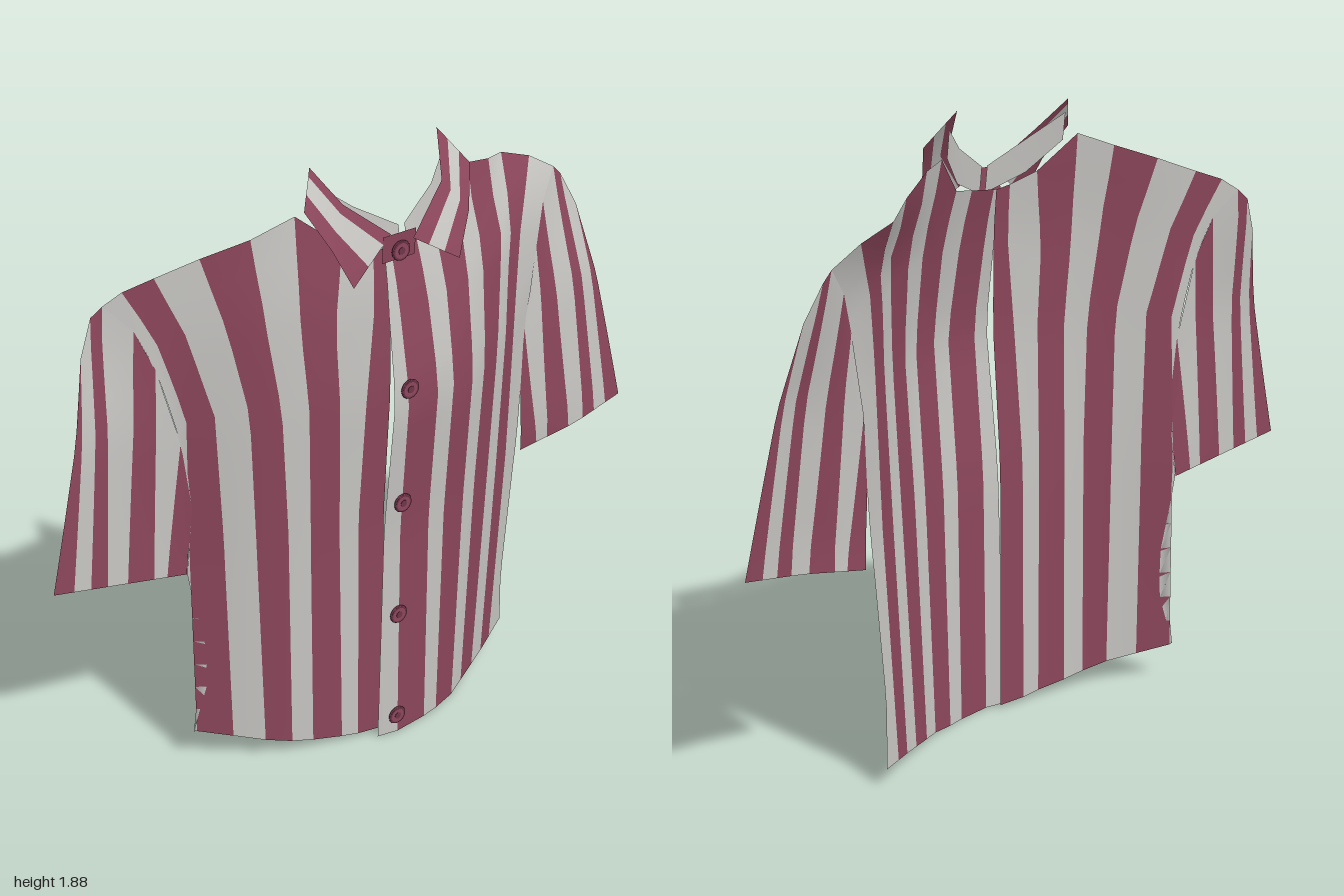
import * as THREE from 'three';

const material = (name, color) => {
  const m = new THREE.MeshStandardMaterial({ color, side: THREE.DoubleSide });
  m.name = name;
  return m;
};

// piecewise linear lookup in ascending xs
function lookup(xs, vs, x) {
  if (x <= xs[0]) return vs[0];
  for (let i = 1; i < xs.length; i++) {
    if (x <= xs[i]) return vs[i - 1] + (vs[i] - vs[i - 1]) * (x - xs[i - 1]) / (xs[i] - xs[i - 1]);
  }
  return vs[vs.length - 1];
}

// cloth depth: one row per height, one column per distance from the centre
const DIST = [0, 0.2, 0.4, 0.6, 0.8, 1];
const HEIGHT = [0, 0.75, 1.2, 1.5, 1.65, 1.78];
const LEFT_DEPTH = [
  [0.14, 0.10, 0.00, -0.11, -0.12, -0.12],
  [0.145, 0.13, 0.04, -0.07, -0.05, -0.07],
  [0.185, 0.165, 0.06, -0.08, -0.09, -0.10],
  [0.13, 0.11, 0.03, -0.10, -0.17, -0.15],
  [0.09, 0.06, -0.05, -0.20, -0.19, -0.18],
  [0.07, 0.02, -0.08, -0.20, -0.20, -0.20],
];
const RIGHT_DEPTH = [
  [0.11, 0.08, 0.03, -0.10, -0.12, -0.14],
  [0.11, 0.08, 0.03, -0.11, -0.13, -0.15],
  [0.13, 0.09, 0.03, -0.10, -0.14, -0.15],
  [0.11, 0.08, 0.02, -0.10, -0.19, -0.17],
  [0.09, 0.06, 0.00, -0.11, -0.19, -0.18],
  [0.07, 0.04, -0.01, -0.11, -0.19, -0.18],
];
const depth = (table, x, y) =>
  lookup(HEIGHT, table.map((row) => lookup(DIST, row, Math.abs(x))), y);

// sheet between neighbouring lines of points (left to right), one colour per strip
function sheet(name, lines, mats) {
  const n = lines[0].length;
  const geo = new THREE.BufferGeometry().setFromPoints(lines.flat());
  const index = [];
  const palette = [...new Set(mats)];
  mats.forEach((m, s) => {
    geo.addGroup(index.length, (n - 1) * 6, palette.indexOf(m));
    for (let j = 0; j < n - 1; j++) {
      const a = s * n + j, b = a + n;
      index.push(a, b, b + 1, a, b + 1, a + 1);
    }
  });
  geo.setIndex(index);
  geo.computeVertexNormals();
  const mesh = new THREE.Mesh(geo, palette);
  mesh.name = name;
  return mesh;
}

// stripe edge: [x, y] points from bottom to top, resampled and draped on the depth table
function drape(points, table, lift = 0, rows = 18) {
  const ys = points.map((p) => p[1]), xs = points.map((p) => p[0]);
  return Array.from({ length: rows + 1 }, (_, i) => {
    const y = ys[0] + (ys[ys.length - 1] - ys[0]) * i / rows;
    const x = lookup(ys, xs, y);
    return new THREE.Vector3(x, y, depth(table, x, y) + lift);
  });
}

// stripe edge of a front panel: hem x, hem y, x at three heights, top x, top y
const edge = ([hx, hy, a, b, c, tx, ty]) => [[hx, hy], [a, 0.8], [b, 1.2], [c, 1.45], [tx, ty]];
const ARMHOLE = [[0.58, 0.9], [0.6, 1.12], [0.655, 1.36], [0.7, 1.48], [0.77, 1.56]];

export function createModel() {
  const model = new THREE.Group();
  model.name = 'shirt';
  const red = material('burgundy', 0x8b465b);
  const white = material('off white', 0xc6c5c2);
  const dark = material('dark burgundy', 0x70344a);
  const stripes = (first, count) =>
    Array.from({ length: count }, (_, i) => ((i % 2 === 0) === (first === red) ? red : white));

  // left front panel with the placket as its first stripe
  const leftEdges = [
    [-0.095, 0, -0.085, -0.075, -0.065, -0.05, 1.62],
    [-0.03, 0, -0.03, -0.03, -0.03, -0.03, 1.62],
    [0.08, 0, 0.075, 0.075, 0.07, 0.06, 1.63],
    [0.135, 0, 0.135, 0.135, 0.14, 0.13, 1.64],
    [0.21, 0.008, 0.215, 0.215, 0.23, 0.24, 1.75],
    [0.27, 0.017, 0.28, 0.29, 0.31, 0.33, 1.735],
    [0.34, 0.028, 0.36, 0.37, 0.41, 0.46, 1.69],
    [0.4, 0.037, 0.415, 0.43, 0.48, 0.57, 1.655],
    [0.46, 0.047, 0.485, 0.505, 0.57, 0.68, 1.615],
  ].map(edge);
  leftEdges.push([[0.54, 0.06], [0.52, 0.25], [0.555, 0.7], ...ARMHOLE]);
  model.add(sheet('leftFront', leftEdges.map((e) => drape(e, LEFT_DEPTH)), stripes(white, 9)));

  // right front panel, running under the placket
  const rightEdges = [
    [-0.06, 0.01, -0.06, -0.05, -0.04, -0.035, 1.62],
    [-0.145, 0.015, -0.14, -0.12, -0.09, -0.08, 1.63],
    [-0.2, 0.025, -0.2, -0.2, -0.205, -0.17, 1.66],
    [-0.29, 0.04, -0.285, -0.285, -0.3, -0.29, 1.76],
    [-0.355, 0.055, -0.35, -0.36, -0.39, -0.41, 1.715],
    [-0.43, 0.075, -0.435, -0.44, -0.48, -0.53, 1.67],
    [-0.51, 0.095, -0.51, -0.52, -0.575, -0.64, 1.625],
    [-0.6, 0.117, -0.59, -0.585, -0.65, -0.72, 1.595],
  ].map(edge);
  rightEdges.push([[-0.61, 0.12], [-0.57, 0.27], [-0.565, 0.42], [-0.6, 0.67],
    ...ARMHOLE.map(([x, y]) => [-x, y])]);
  model.add(sheet('rightFront', rightEdges.map((e) => drape(e, RIGHT_DEPTH)).reverse(),
    stripes(red, 8).reverse()));

  // sleeves: stripes fan from the armhole and cap down to the cuff
  const cuff = [0.6, 0.66, 0.7, 0.78, 0.84, 0.89, 0.94, 1];
  const cap = [...ARMHOLE.slice(0, 4), [0.77, 1.56], [0.8, 1.53], [0.845, 1.43], [0.88, 1.27]];
  for (const side of [1, -1]) {
    const table = side > 0 ? LEFT_DEPTH : RIGHT_DEPTH;
    const lines = cuff.map((x, i) => drape(
      [[x * side, 0.68 + 0.07 * (x - 0.6) / 0.4], [cap[i][0] * side, cap[i][1]]], table, 0, 10));
    const mats = stripes(red, 7);
    if (side < 0) { lines.reverse(); mats.reverse(); }
    model.add(sheet(side > 0 ? 'leftSleeve' : 'rightSleeve', lines, mats));
  }

  // collar flaps: stripes run between the outer edge and the fold
  const v = (p) => new THREE.Vector3(...p);
  function collar(name, outer, fold, cuts, mats, flip) {
    const lines = cuts.map((t) => outer.map((p, i) => v(p).lerp(v(fold[i]), t)));
    model.add(sheet(name, flip ? lines.reverse() : lines, flip ? mats.reverse() : mats));
  }
  collar('rightCollar',
    [[-0.19, 1.57, 0.145], [-0.235, 1.68, 0.11], [-0.28, 1.78, 0.05]],
    [[-0.05, 1.68, 0.12], [-0.17, 1.78, 0.07], [-0.22, 1.87, -0.01]],
    [0, 0.4, 0.8, 1], [red, white, red], false);
  collar('leftCollar',
    [[0.15, 1.57, 0.165], [0.215, 1.68, 0.12], [0.27, 1.78, 0.05]],
    [[0.01, 1.66, 0.14], [0.15, 1.77, 0.08], [0.2, 1.88, -0.01]],
    [0, 0.33, 0.67, 1], [red, white, red], true);

  // collar stand behind the flaps
  for (const s of [-1, 1]) {
    const lines = [[0.22, 1.75, 1.83, 0], [0.13, 1.66, 1.76, 0.06], [0.01, 1.61, 1.69, 0.1]]
      .map(([x, low, high, z]) => [v([x * s, low, z + 0.01]), v([x * s, high, z])]);
    model.add(sheet(s > 0 ? 'leftCollarStand' : 'rightCollarStand',
      s > 0 ? lines.reverse() : lines, [white, white]));
  }
  model.add(sheet('collarTab', [-0.08, 0.03].map((x) =>
    [v([x, 1.6, 0.12]), v([x, 1.68, 0.125])]), [red]));

  // buttons with a raised rim
  [[-0.025, 1.63], [-0.03, 1.23], [-0.033, 0.845], [-0.037, 0.45], [-0.037, 0.07]].forEach(([x, y], i) => {
    const button = new THREE.Group();
    button.name = 'button' + (i + 1);
    const disc = new THREE.Mesh(new THREE.CylinderGeometry(0.028, 0.028, 0.008, 16), red);
    disc.rotation.x = Math.PI / 2;
    const rim = new THREE.Mesh(new THREE.TorusGeometry(0.025, 0.005, 6, 16), dark);
    const centre = new THREE.Mesh(new THREE.CylinderGeometry(0.011, 0.011, 0.011, 8), dark);
    centre.rotation.x = Math.PI / 2;
    disc.name = 'buttonDisc';
    rim.name = 'buttonRim';
    centre.name = 'buttonCentre';
    button.add(disc, rim, centre);
    button.position.set(x, y, depth(LEFT_DEPTH, x, y) + (i === 0 ? 0.04 : 0.008));
    model.add(button);
  });
  return model;
}
